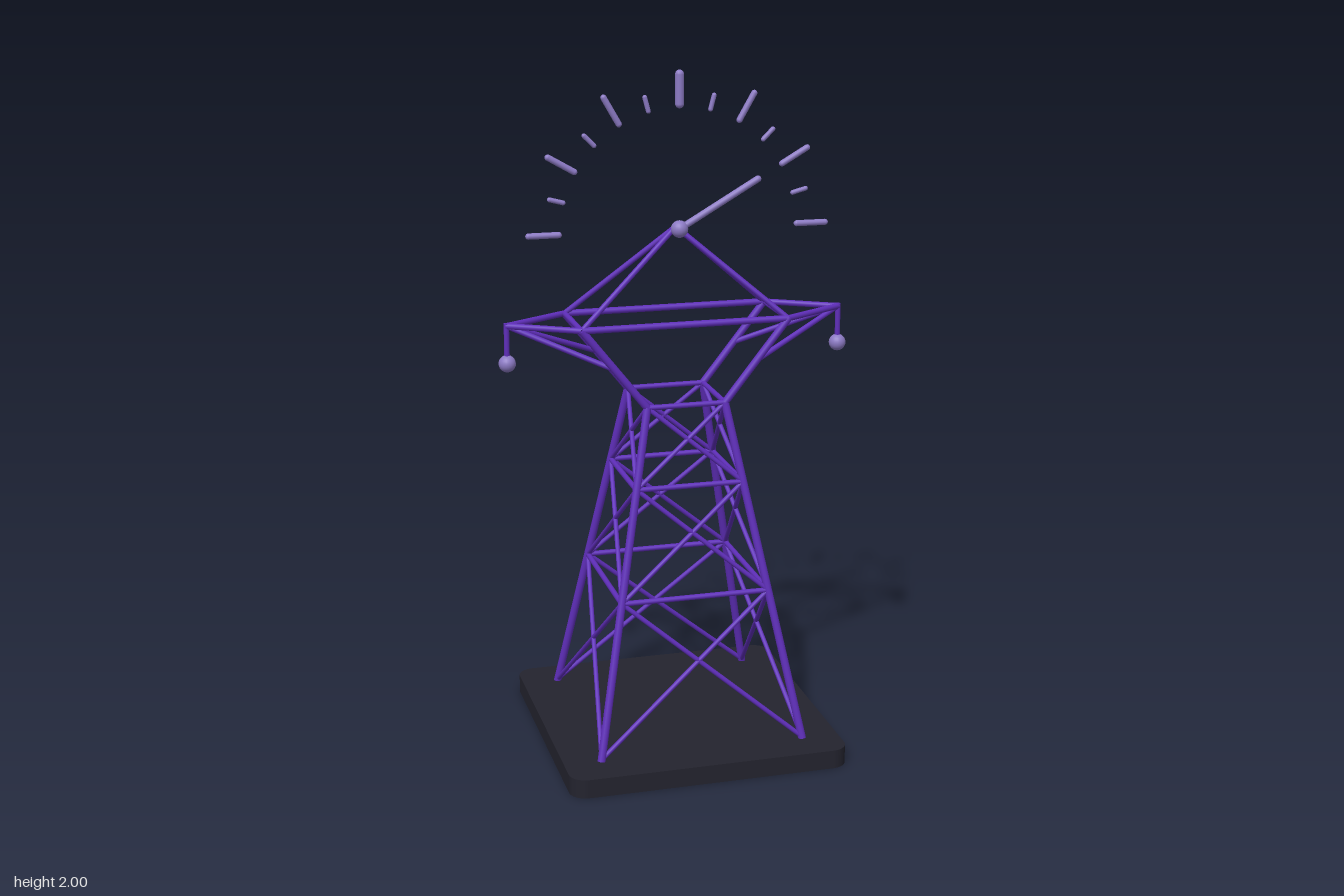
import * as THREE from 'three';

export function createModel() {
  const model = new THREE.Group();
  model.name = 'pylonWithDial';
  const mat = (name, color) => {
    const m = new THREE.MeshStandardMaterial({ color });
    m.name = name;
    return m;
  };
  const purple = mat('purpleSteel', 0x5f2eba);
  const lavender = mat('lavender', 0x8c7ac4);
  const dark = mat('darkBase', 0x23232e);

  const group = (name) => {
    const g = new THREE.Group();
    g.name = name;
    model.add(g);
    return g;
  };
  const V = (x, y, z) => new THREE.Vector3(x, y, z);
  const UP = V(0, 1, 0);

  // Rod between two points, with flat or rounded ends
  function rod(parent, name, a, b, r, material, rounded = false) {
    const len = a.distanceTo(b);
    const geo = rounded
      ? new THREE.CapsuleGeometry(r, len - 2 * r, 5, 12)
      : new THREE.CylinderGeometry(r, r, len, 12);
    const mesh = new THREE.Mesh(geo, material);
    mesh.name = name;
    mesh.position.copy(a).add(b).multiplyScalar(0.5);
    mesh.quaternion.setFromUnitVectors(UP, b.clone().sub(a).normalize());
    parent.add(mesh);
  }
  function ball(parent, name, p, r) {
    const mesh = new THREE.Mesh(new THREE.SphereGeometry(r, 20, 14), lavender);
    mesh.name = name;
    mesh.position.copy(p);
    parent.add(mesh);
  }

  // Base slab with rounded corners
  const h = 0.415, c = 0.05;
  const outline = new THREE.Shape();
  outline.absarc(h - c, h - c, c, 0, Math.PI / 2);
  outline.absarc(c - h, h - c, c, Math.PI / 2, Math.PI);
  outline.absarc(c - h, c - h, c, Math.PI, Math.PI * 1.5);
  outline.absarc(h - c, c - h, c, Math.PI * 1.5, Math.PI * 2);
  const slab = new THREE.ExtrudeGeometry(outline, { depth: 0.056, bevelEnabled: false, curveSegments: 8 });
  const base = new THREE.Mesh(slab.rotateX(-Math.PI / 2), dark);
  base.name = 'base';
  model.add(base);

  // Tapered tower: legs, level rings and crossed braces
  const tower = group('tower');
  const foot = 0.305, waist = 0.116, y0 = 0.055, y1 = 1.05;
  const corner = (i, y) => {
    const w = THREE.MathUtils.mapLinear(y, y0, y1, foot, waist);
    const [sx, sz] = [[1, 1], [-1, 1], [-1, -1], [1, -1]][i % 4];
    return V(sx * w, y, sz * w);
  };
  const levels = [0.06, 0.5, 0.82, y1];
  for (let i = 0; i < 4; i++) {
    rod(tower, 'leg', corner(i, y0), corner(i, y1), 0.012, purple);
    for (let k = 1; k < levels.length; k++) {
      const lo = levels[k - 1], hi = levels[k];
      rod(tower, 'levelBar', corner(i, hi), corner(i + 1, hi), 0.008, purple);
      rod(tower, 'crossBrace', corner(i, lo), corner(i + 1, hi), 0.007, purple);
      rod(tower, 'crossBrace', corner(i + 1, lo), corner(i, hi), 0.007, purple);
    }
  }

  // Flared head, pointed cross arms and peak
  const head = group('head');
  const armY = 1.288, armX = 0.305, tipX = 0.498, peak = V(0, 1.55, 0);
  for (const sz of [1, -1]) {
    const z = sz * waist;
    rod(head, 'armBeam', V(-armX, armY, z), V(armX, armY, z), 0.01, purple);
    for (const sx of [1, -1]) {
      const shoulder = V(sx * armX, armY, z);
      const neck = V(sx * waist, y1, z);
      const tip = V(sx * tipX, armY, 0);
      rod(head, 'headStrut', neck, shoulder, 0.011, purple);
      rod(head, 'armTipBar', shoulder, tip, 0.009, purple);
      rod(head, 'armBrace', neck.clone().lerp(shoulder, 0.5), tip, 0.008, purple);
      rod(head, 'peakBar', shoulder, peak, 0.008, purple);
    }
  }
  for (const sx of [1, -1]) {
    rod(head, 'armEndBar', V(sx * armX, armY, -waist), V(sx * armX, armY, waist), 0.008, purple);
    rod(head, 'hanger', V(sx * tipX, armY + 0.008, 0), V(sx * tipX, 1.18, 0), 0.008, purple);
    ball(head, 'insulator', V(sx * tipX, 1.178, 0), 0.025);
  }

  // Half-circle dial with hub, needle and ticks
  const dial = group('dial');
  const polar = (deg, r) => {
    const a = THREE.MathUtils.degToRad(deg);
    return V(r * Math.cos(a), 1.55 + r * Math.sin(a), 0.041);
  };
  ball(dial, 'hub', polar(0, 0), 0.025);
  rod(dial, 'needle', polar(30, 0), polar(30, 0.278), 0.01, lavender, true);
  for (let d = 0; d <= 180; d += 15) {
    const major = d % 30 === 0;
    const r = d === 90 ? 0.013 : major ? 0.009 : 0.007;
    rod(dial, 'tick', polar(d, 0.342), polar(d, d === 90 ? 0.45 : major ? 0.446 : 0.396), r, lavender, true);
  }
  return model;
}
